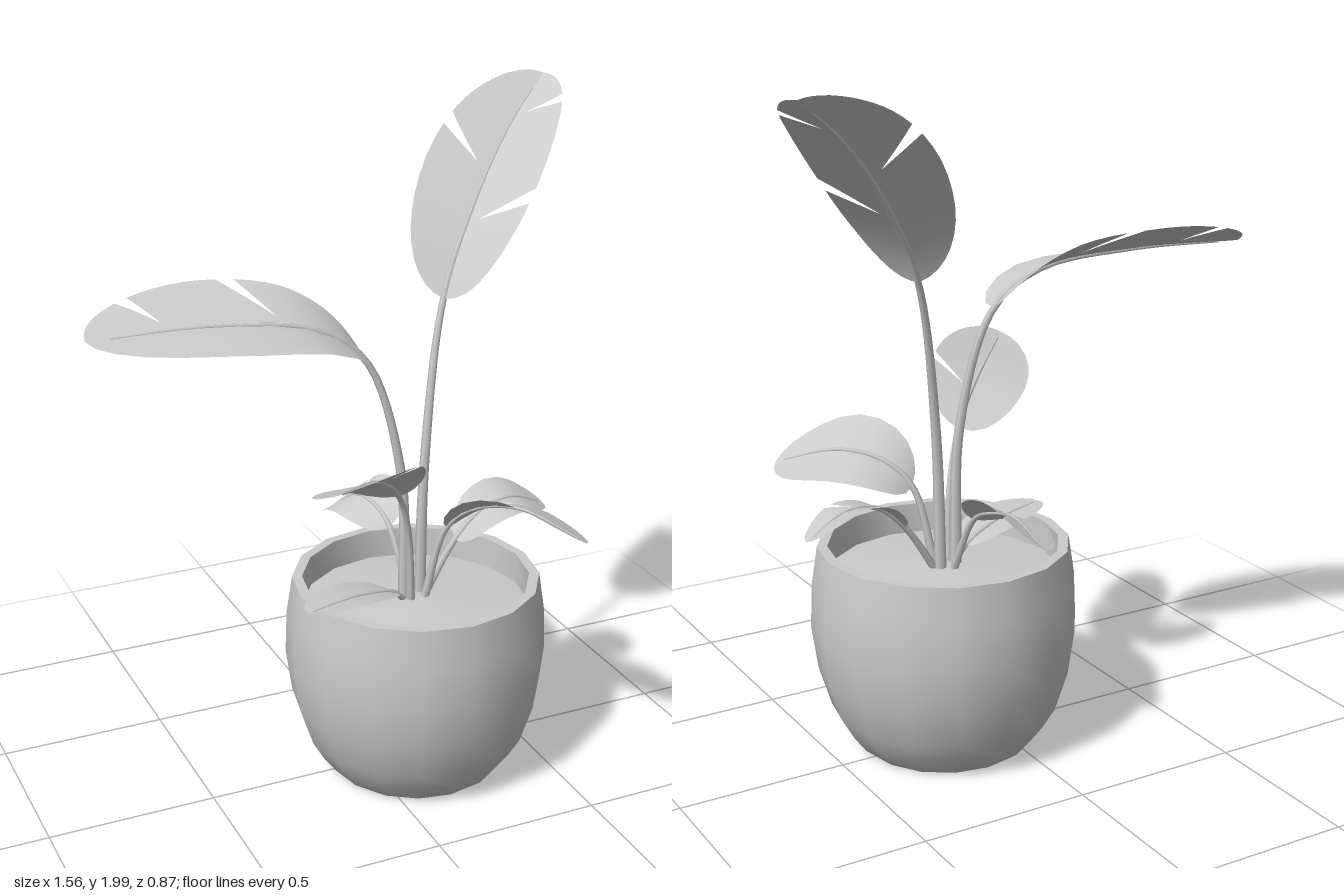
import * as THREE from 'three';
import { mergeGeometries, toCreasedNormals } from 'three/addons/utils/BufferGeometryUtils.js';

const grey = new THREE.MeshStandardMaterial({ color: 0xcccccc });
const thin = new THREE.MeshStandardMaterial({ color: 0xcccccc, side: THREE.DoubleSide });
const COLS = 12, ROWS = 5;
const CROWN = new THREE.Vector3(0.147, 0.53, 0.015);

function addMesh(parent, name, geometry, material = grey) {
  const mesh = new THREE.Mesh(geometry, material);
  mesh.name = name;
  parent.add(mesh);
  return mesh;
}

// Stalk and midrib: a tube that narrows and stops just short of the leaf tip
function taperedTube(leafCurve, r0, r1) {
  const rings = 32, sides = 6;
  const points = leafCurve.getSpacedPoints(24).slice(0, -1);
  const curve = new THREE.CatmullRomCurve3(points);
  const geo = new THREE.TubeGeometry(curve, rings, r0, sides);
  const pos = geo.attributes.position, p = new THREE.Vector3();
  for (let i = 0; i < pos.count; i++) {
    const t = Math.floor(i / (sides + 1)) / rings;
    const centre = curve.getPointAt(t);
    p.fromBufferAttribute(pos, i).sub(centre);
    p.multiplyScalar(1 + (r1 / r0 - 1) * t).add(centre);
    pos.setXYZ(i, p.x, p.y, p.z);
  }
  return geo;
}

// Rounded leaf outline, 0 at both ends and 1 at the widest place
const outline = (s) => Math.pow(s, 0.45) * Math.sqrt(1 - s) / 0.518;

// Half a blade: a grid from midrib to edge, cut into strips by wedge-shaped tears
function halfBlade(midrib, dir, tears) {
  const cuts = [0, ...tears, 1], strips = [];
  for (let k = 0; k < cuts.length - 1; k++) {
    const verts = [], index = [];
    for (let j = 0; j <= ROWS; j++) {
      const v = j / ROWS;
      const lean = 0.07 * v, gap = 0.05 * Math.max(0, v - 0.2);
      const lo = k > 0 ? cuts[k] + lean + gap : 0;
      const hi = k < cuts.length - 2 ? cuts[k + 1] + lean : 1;
      for (let i = 0; i <= COLS; i++) {
        const u = lo + (hi - lo) * i / COLS;
        const s = THREE.MathUtils.clamp((1 - Math.cos(Math.PI * u)) / 2, 0, 1);
        const p = midrib(s).addScaledVector(dir, v * outline(s));
        verts.push(p.x, p.y, p.z);
        if (i < COLS && j < ROWS) {
          const a = j * (COLS + 1) + i, b = a + COLS + 1;
          index.push(a, a + 1, b, b, a + 1, b + 1);
        }
      }
    }
    const geo = new THREE.BufferGeometry();
    geo.setAttribute('position', new THREE.Float32BufferAttribute(verts, 3));
    geo.setIndex(index);
    geo.computeVertexNormals();
    strips.push(geo);
  }
  return mergeGeometries(strips);
}

// One leaf: the path leaves the crown, the blade begins at path point "start".
// "side" reaches from midrib to one edge, the other edge mirrors it, "fold" lifts both.
function addLeaf(parent, name, { path, start = 1, side, fold = 0.01, radius = 0.013, tears = [[], []] }) {
  const leaf = new THREE.Group();
  leaf.name = name;
  parent.add(leaf);

  const points = path.map((p) => new THREE.Vector3(...p));
  const outward = points[0].clone().sub(CROWN).setY(0).setLength(0.03);
  const curve = new THREE.CatmullRomCurve3([CROWN.clone().add(outward), ...points]);
  addMesh(leaf, 'stalk', taperedTube(curve, radius, 0.003));

  const u0 = curve.getLengths()[Math.round(200 * start / path.length)] / curve.getLength();
  const midrib = (s) => curve.getPointAt(Math.min(1, u0 + (1 - u0) * s));
  const across = new THREE.Vector3(...side);
  const lift = across.clone().cross(midrib(1).sub(midrib(0))).normalize();
  lift.multiplyScalar(fold * Math.sign(lift.y));
  addMesh(leaf, 'bladeFirstHalf', halfBlade(midrib, across.clone().add(lift), tears[0]), thin);
  addMesh(leaf, 'bladeSecondHalf', halfBlade(midrib, across.clone().negate().add(lift), tears[1]), thin);
}

export function createModel() {
  const model = new THREE.Group();
  model.name = 'pottedPlant';

  // Rounded pot with a flat rim and a hollow top
  const profile = [[0, 0], [.25, 0], [.265, .012], [.3, .06], [.335, .12], [.372, .24], [.39, .37], [.385, .5],
    [.367, .617], [.337, .617], [.335, .5]].map(([r, y]) => new THREE.Vector2(r, y));
  const pot = addMesh(model, 'pot', toCreasedNormals(new THREE.LatheGeometry(profile, 16), 0.6));
  pot.position.set(.148, 0, .025);

  // Soil, slightly heaped in the middle
  const heap = [[.345, .525], [.2, .54], [0, .55]].map(([r, y]) => new THREE.Vector2(r, y));
  const soil = addMesh(model, 'soil', new THREE.LatheGeometry(heap, 16));
  soil.position.copy(pot.position);

  const plant = new THREE.Group();
  plant.name = 'leaves';
  model.add(plant);

  // Two large leaves on long stalks
  addLeaf(plant, 'tallBackLeaf', {
    path: [[.19, .97, -.01], [.283, 1.42, -.09], [.43, 1.665, -.19], [.6, 1.85, -.305], [.77, 1.975, -.41]],
    start: 2, side: [.115, -.03, .125], fold: .055, radius: .018, tears: [[.36, .68], [.5]],
  });
  addLeaf(plant, 'largeRightLeaf', {
    path: [[.1, .97, .01], [0, 1.3, -.01], [-.14, 1.4, -.03], [-.41, 1.435, -.075], [-.775, 1.43, -.11]],
    start: 2, side: [.01, -.06, .17], fold: .03, radius: .018, tears: [[], [.38, .64]],
  });

  // Medium and small leaves around the crown
  addLeaf(plant, 'frontRightLeaf', {
    path: [[.1, .785, .07], [.05, .92, .11], [-.045, 1.01, .19], [-.275, 1.1, .415]],
    start: 2, side: [.1, .055, .09], tears: [[.36], []],
  });
  addLeaf(plant, 'frontLeftLeaf', {
    path: [[.22, .78, .08], [.28, .85, .135], [.37, .873, .23], [.5, .81, .405]],
    side: [-.1, .06, .09],
  });
  addLeaf(plant, 'leftLeaf', {
    path: [[.29, .695, 0], [.38, .77, -.01], [.49, .785, -.03], [.62, .73, -.06]],
    side: [0, -.02, .1], tears: [[.5], []],
  });
  addLeaf(plant, 'backLeaf', {
    path: [[.125, .72, -.11], [.115, .76, -.18], [.09, .77, -.27], [.05, .7, -.37]],
    side: [.09, .045, 0], tears: [[.55], []],
  });
  addLeaf(plant, 'lowRightLeaf', {
    path: [[.07, .58, .04], [-.07, .62, .09], [-.25, .63, .15]],
    side: [.03, 0, .08], radius: .01,
  });
  return model;
}
